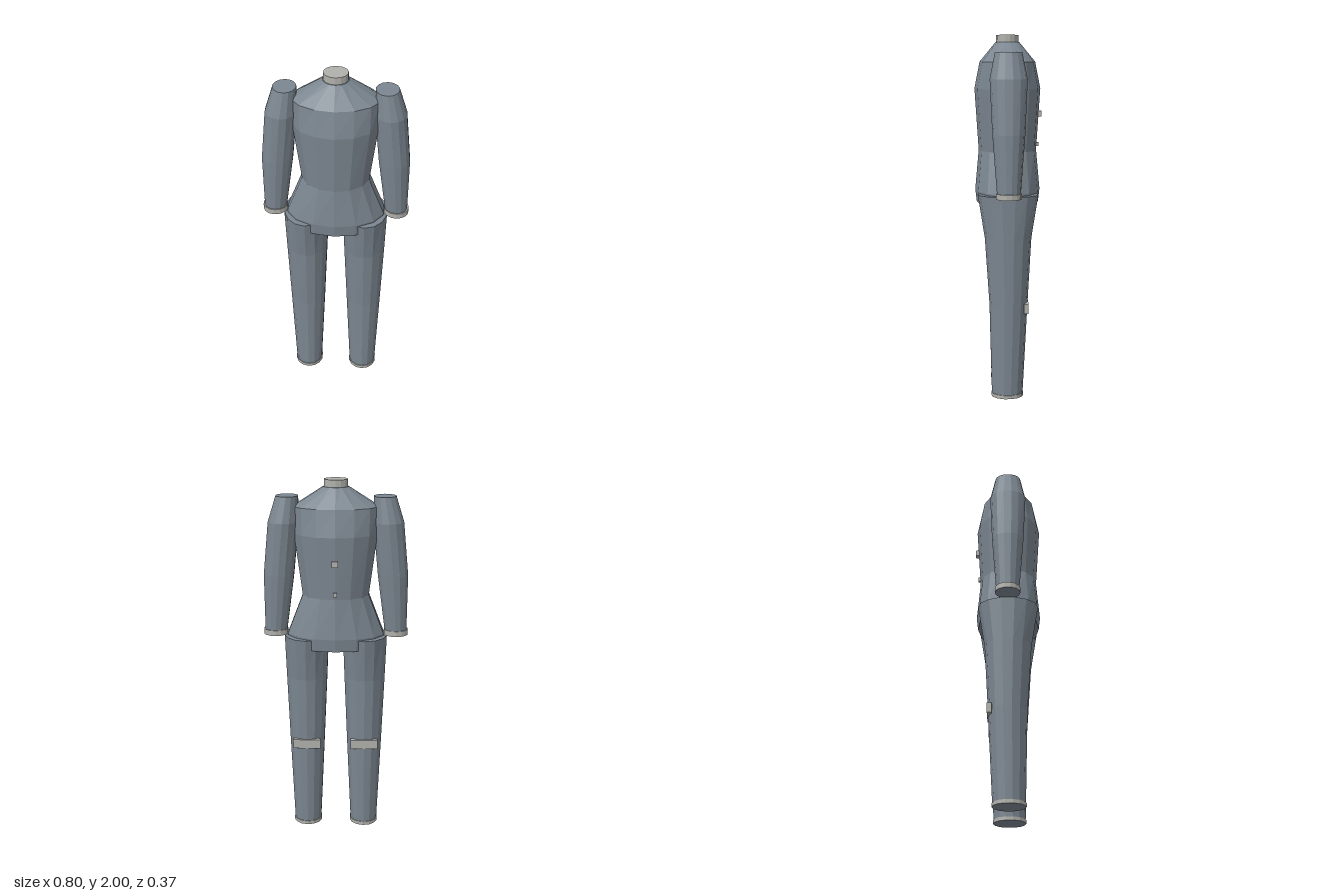
import * as THREE from 'three';

const SIDES = 14;

// Closed loft through elliptical rings [y, centreX, centreZ, radiusX, radiusZ], listed bottom to top.
// Groups: 0 = walls, 1 = top cap, 2 = bottom cap.
function loft(rings) {
  const pos = [], index = [], n = SIDES;
  for (const [y, cx, cz, rx, rz] of rings) {
    for (let i = 0; i < n; i++) {
      const a = (i / n) * Math.PI * 2;
      pos.push(cx + Math.sin(a) * rx, y, cz + Math.cos(a) * rz);
    }
  }
  for (let r = 0; r < rings.length - 1; r++) {
    for (let i = 0; i < n; i++) {
      const j = (i + 1) % n, a = r * n + i, b = r * n + j;
      index.push(a, b, b + n, a, b + n, a + n);
    }
  }
  const walls = index.length, top = (rings.length - 1) * n;
  for (let i = 1; i < n - 1; i++) index.push(top, top + i, top + i + 1);
  const capSize = index.length - walls;
  for (let i = 1; i < n - 1; i++) index.push(0, i + 1, i);
  const g = new THREE.BufferGeometry();
  g.setAttribute('position', new THREE.Float32BufferAttribute(pos, 3));
  g.setIndex(index);
  g.addGroup(0, walls, 0);
  g.addGroup(walls, capSize, 1);
  g.addGroup(walls + capSize, capSize, 2);
  const flat = g.toNonIndexed();
  flat.computeVertexNormals();
  return flat;
}

export function createModel() {
  const model = new THREE.Group();
  model.name = 'suit';
  const cloth = new THREE.MeshStandardMaterial({ color: 0x7c8791, flatShading: true });
  cloth.name = 'blue grey cloth';
  const trim = new THREE.MeshStandardMaterial({ color: 0xb0b0ac, flatShading: true });
  trim.name = 'light grey trim';

  const add = (name, geometry, material, parent = model) => {
    const mesh = new THREE.Mesh(geometry, material);
    mesh.name = name;
    parent.add(mesh);
    return mesh;
  };
  const allCloth = [cloth, cloth, cloth];
  const cuffMaterials = [trim, trim, cloth];

  // Jacket body, from hem to collar
  add('torso', loft([
    [1.08, 0, 0, 0.262, 0.172],
    [1.15, 0, 0, 0.272, 0.18],
    [1.37, 0, 0, 0.186, 0.16],
    [1.71, 0, 0, 0.232, 0.182],
    [1.855, 0, 0, 0.236, 0.153],
    [1.96, 0, 0, 0.07, 0.066],
  ]), allCloth);
  add('neckRing', loft([[1.95, 0, 0, 0.066, 0.062], [2, 0, 0, 0.066, 0.062]]), [trim, trim, trim]);

  // Back fasteners
  const addBox = (name, w, h, d, x, y, z, parent) =>
    add(name, new THREE.BoxGeometry(w, h, d), trim, parent).position.set(x, y, z);
  addBox('upperBackButton', 0.034, 0.032, 0.03, 0, 1.57, -0.174);
  addBox('lowerBackButton', 0.022, 0.022, 0.024, 0, 1.4, -0.161);

  for (const s of [1, -1]) {
    const side = s > 0 ? 'left' : 'right';

    // Sleeve with cuff
    const arm = new THREE.Group();
    arm.name = side + 'Arm';
    add('sleeve', loft([
      [1.15, s * 0.333, 0, 0.061, 0.062],
      [1.48, s * 0.313, 0, 0.085, 0.087],
      [1.77, s * 0.286, 0, 0.085, 0.1],
      [1.91, s * 0.265, 0, 0.062, 0.072],
    ]), allCloth, arm);
    add('sleeveCuff', loft([
      [1.14, s * 0.334, 0, 0.068, 0.069],
      [1.17, s * 0.334, 0, 0.068, 0.069],
    ]), cuffMaterials, arm);

    // Trouser leg with hem and calf strap
    const leg = new THREE.Group();
    leg.name = side + 'Leg';
    add('trouserLeg', loft([
      [0.01, s * 0.162, 0.005, 0.077, 0.086],
      [0.52, s * 0.162, -0.002, 0.1, 0.105],
      [0.9, s * 0.162, 0, 0.116, 0.128],
      [1.14, s * 0.162, 0, 0.125, 0.166],
    ]), allCloth, leg);
    add('trouserHem', loft([
      [0, s * 0.162, 0.005, 0.081, 0.09],
      [0.02, s * 0.162, 0.005, 0.081, 0.09],
    ]), cuffMaterials, leg);
    addBox('calfStrap', 0.155, 0.052, 0.026, s * 0.162, 0.515, -0.098, leg);

    model.add(arm, leg);
  }
  return model;
}
